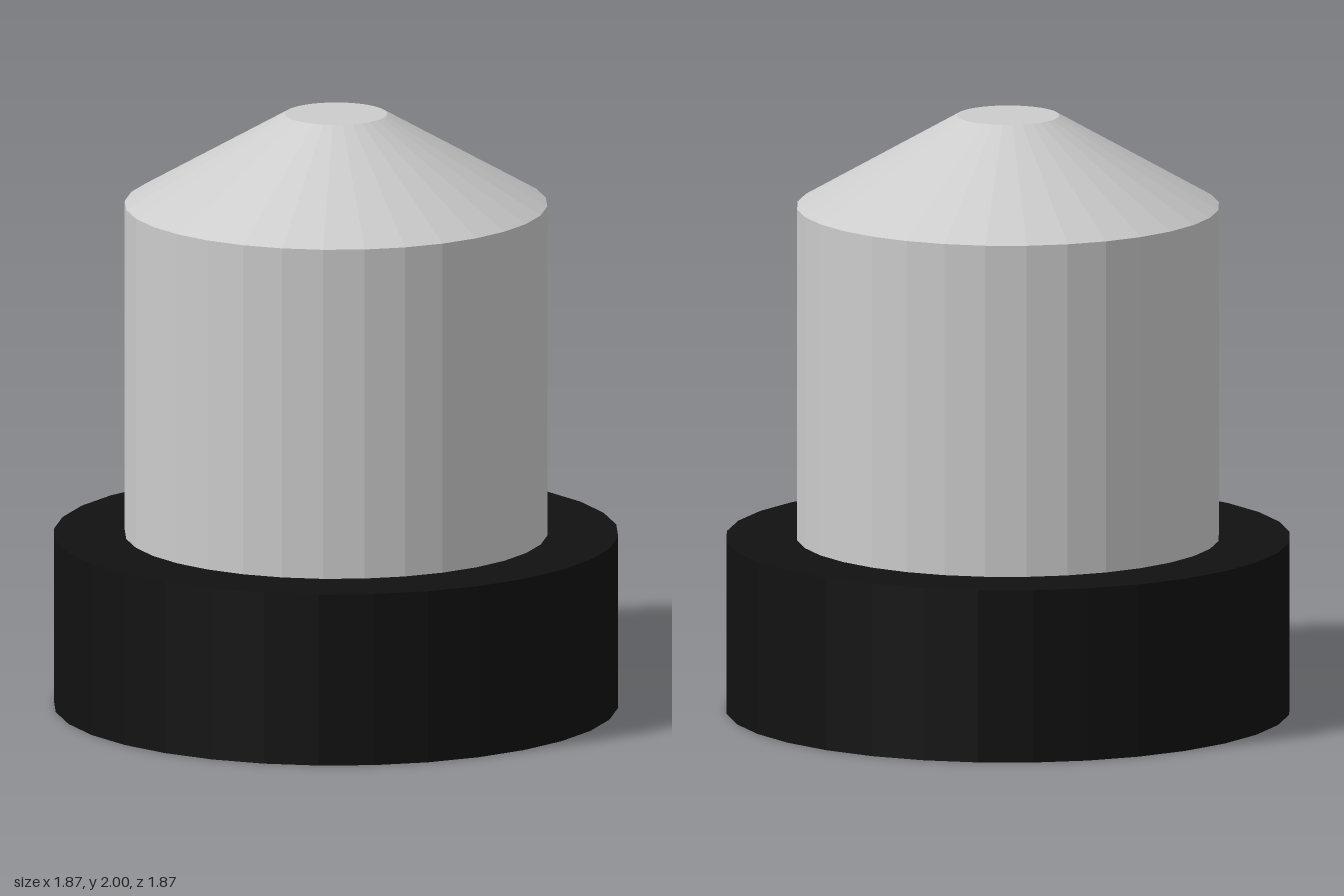
import * as THREE from 'three';

const SIDES = 32;

export function createModel() {
  const group = new THREE.Group();
  const black = new THREE.MeshStandardMaterial({ color: 0x111111, flatShading: true });
  const grey = new THREE.MeshStandardMaterial({ color: 0xcccccc, flatShading: true });

  // A faceted round section standing between two heights
  function section(name, rBottom, rTop, y0, y1, material) {
    const geometry = new THREE.CylinderGeometry(rTop, rBottom, y1 - y0, SIDES);
    const mesh = new THREE.Mesh(geometry, material);
    mesh.name = name;
    mesh.position.y = (y0 + y1) / 2;
    group.add(mesh);
  }

  // Wide dark base, straight body, tapered flat-topped cap
  section('base', 0.935, 0.935, 0, 0.58, black);
  section('body', 0.7, 0.7, 0.58, 1.695, grey);
  section('cap', 0.7, 0.17, 1.695, 2, grey);

  return group;
}
